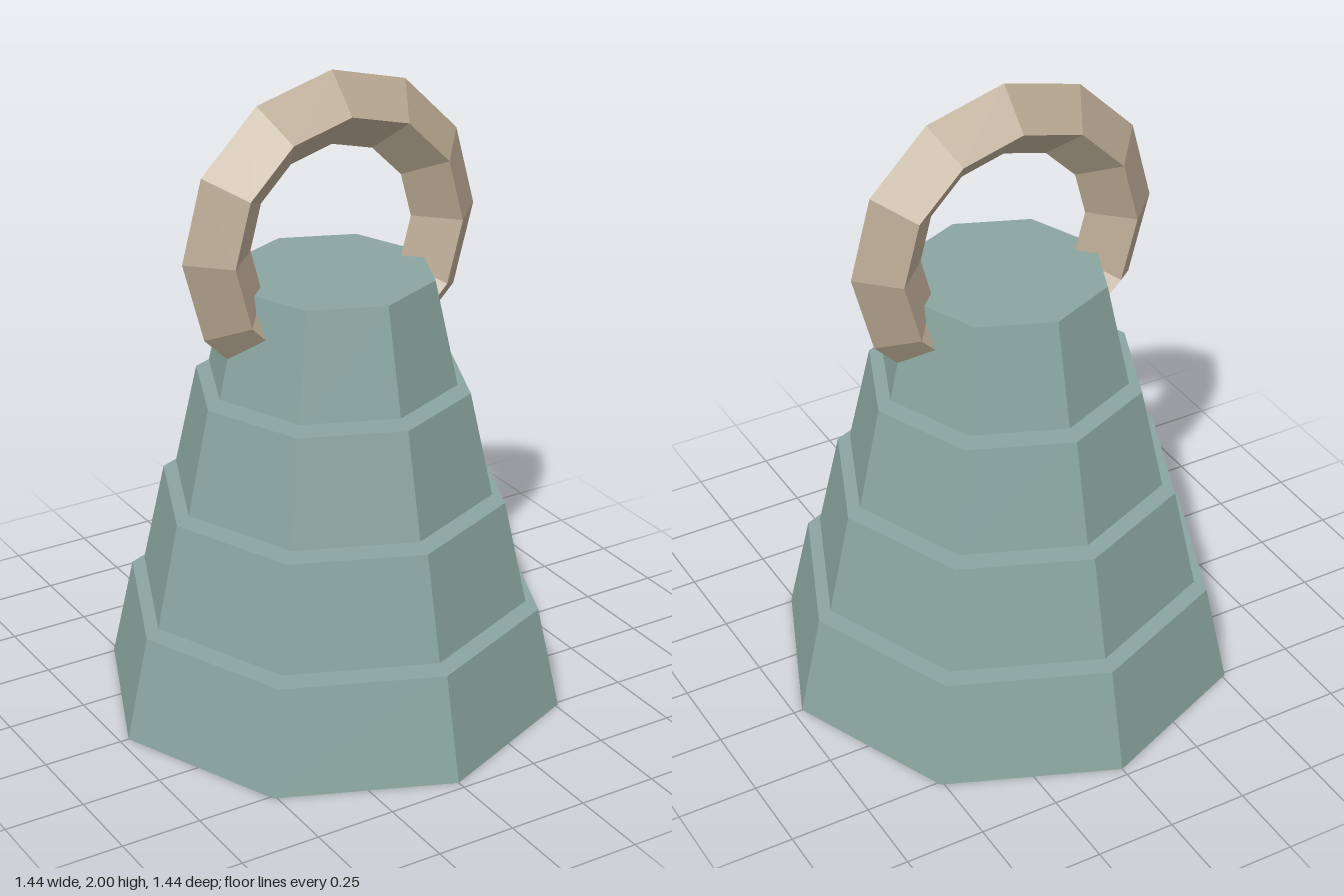
import * as THREE from 'three';

export function createModel() {
  const model = new THREE.Group();
  model.name = 'ringedWeight';

  const metal = new THREE.MeshStandardMaterial({ color: 0x8aa59f, flatShading: true });
  metal.name = 'grey green metal';
  const tan = new THREE.MeshStandardMaterial({ color: 0xb7a791, flatShading: true });
  tan.name = 'tan ring';

  // four separate octagonal tiers, each narrower than the one below
  const tiers = 4, height = 0.327, pitch = 0.351;
  for (let i = 0; i < tiers; i++) {
    const radius = 0.722 - i * 0.1125;
    const tier = new THREE.Mesh(
      new THREE.CylinderGeometry(radius - 0.072, radius, height, 8), metal);
    tier.name = `tier${i + 1}`;
    tier.position.y = i * pitch + height / 2;
    model.add(tier);
  }

  // carrying ring, passing through the top tier
  const ring = new THREE.Mesh(new THREE.TorusGeometry(0.387, 0.112, 4, 12), tan);
  ring.name = 'carryRing';
  ring.position.y = 1.501;
  model.add(ring);

  return model;
}
